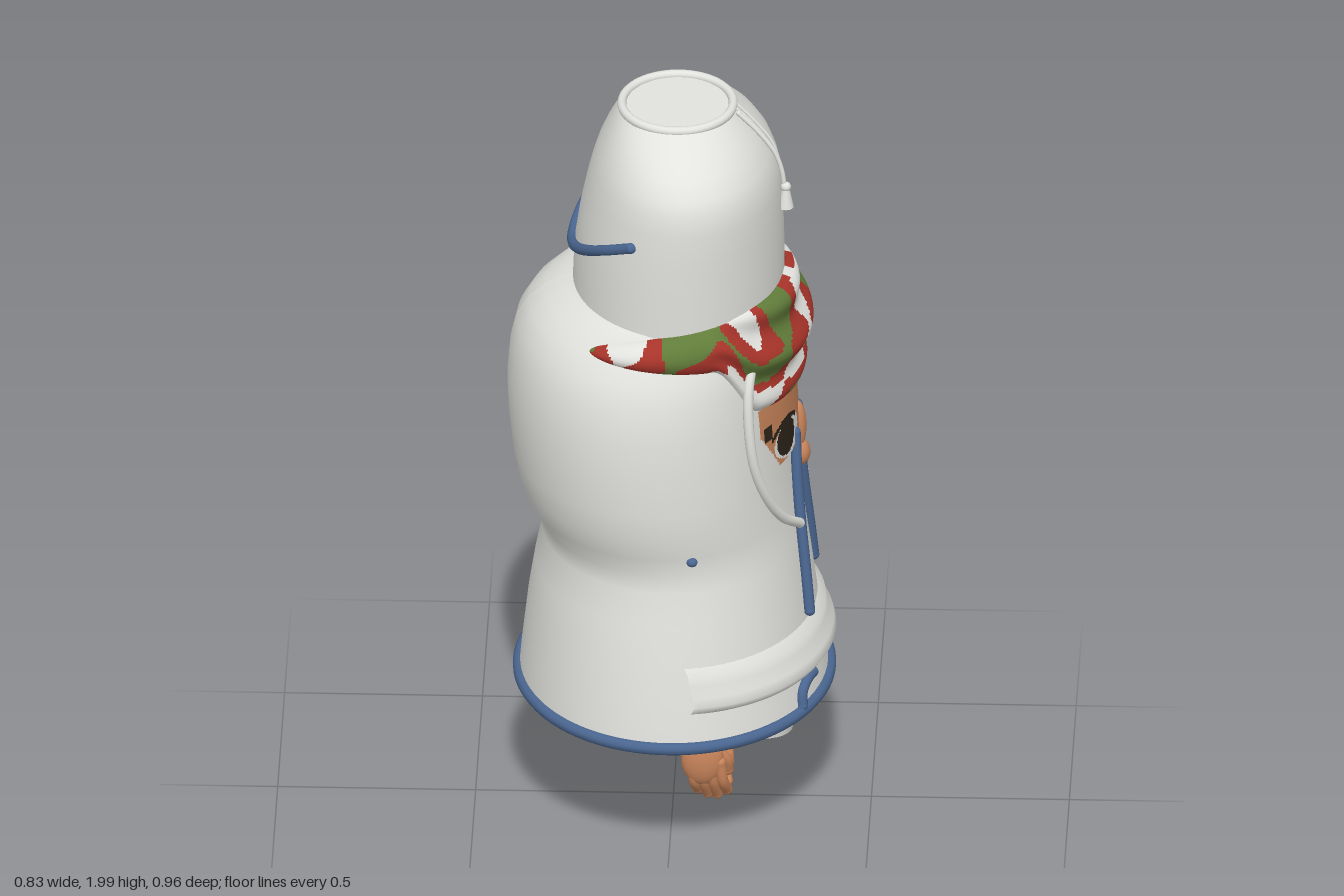
import * as THREE from 'three';

const mat = (name, color, side = THREE.FrontSide) => {
  const m = new THREE.MeshStandardMaterial({ color, side });
  m.name = name;
  return m;
};
const white = mat('offWhiteCloth', 0xe2e2de, THREE.DoubleSide);
const blue = mat('blueTrim', 0x4a6690);
const skin = mat('skin', 0xc8845a, THREE.DoubleSide);
const red = mat('scarfRed', 0xa8342a, THREE.DoubleSide);
const green = mat('scarfGreen', 0x617c3a, THREE.DoubleSide);
const dark = mat('eyeDark', 0x2c241a, THREE.DoubleSide);

// Sections: [y, back x, front x, half width in z]
const BODY = [
  [0.37, -0.39, 0.395, 0.465], [0.45, -0.383, 0.383, 0.455], [0.6, -0.366, 0.363, 0.43],
  [0.7, -0.35, 0.35, 0.41], [0.79, -0.332, 0.337, 0.392], [0.84, -0.34, 0.33, 0.387],
  [0.89, -0.37, 0.322, 0.4], [0.95, -0.39, 0.315, 0.413], [1.02, -0.405, 0.308, 0.42],
  [1.12, -0.416, 0.302, 0.422], [1.22, -0.42, 0.296, 0.42], [1.31, -0.412, 0.29, 0.408],
  [1.38, -0.395, 0.288, 0.385], [1.43, -0.365, 0.283, 0.352], [1.465, -0.325, 0.28, 0.335],
  [1.49, -0.28, 0.275, 0.325], [1.51, -0.23, 0.27, 0.31]];
const HAT = [
  [1.47, -0.255, 0.28, 0.33], [1.6, -0.25, 0.28, 0.335], [1.7, -0.235, 0.277, 0.338],
  [1.78, -0.218, 0.273, 0.338], [1.83, -0.205, 0.264, 0.333], [1.87, -0.192, 0.248, 0.318],
  [1.91, -0.175, 0.222, 0.285], [1.945, -0.158, 0.192, 0.238], [1.975, -0.142, 0.162, 0.18],
  [1.988, -0.132, 0.152, 0.157]];
const FOLD = [
  [0.465, -0.37, 0.365, 0.44], [0.478, -0.37, 0.4, 0.452], [0.495, -0.37, 0.412, 0.456],
  [0.52, -0.37, 0.405, 0.452], [0.55, -0.37, 0.388, 0.445], [0.575, -0.37, 0.385, 0.442], [0.605, -0.37, 0.355, 0.425]];

// Builds a grid surface; pick(u, v) returns a material number, or -1 to leave a gap
function surface(nu, nv, point, pick) {
  const pos = [], lists = [[], [], []], p = new THREE.Vector3();
  for (let i = 0; i <= nv; i++) for (let j = 0; j <= nu; j++) {
    point(j / nu, i / nv, p);
    pos.push(p.x, p.y, p.z);
  }
  for (let i = 0; i < nv; i++) for (let j = 0; j < nu; j++) {
    const m = pick ? pick((j + 0.5) / nu, (i + 0.5) / nv) : 0;
    if (m < 0) continue;
    const a = i * (nu + 1) + j, b = a + nu + 1;
    lists[m].push(a, b, a + 1, a + 1, b, b + 1);
  }
  const g = new THREE.BufferGeometry();
  g.setAttribute('position', new THREE.Float32BufferAttribute(pos, 3));
  g.setIndex(lists.flat());
  let start = 0;
  lists.forEach((l, k) => { if (pick) g.addGroup(start, l.length, k); start += l.length; });
  g.computeVertexNormals();
  return g;
}

function ring(sections, y) {
  let i = 0;
  while (i < sections.length - 2 && y > sections[i + 1][0]) i++;
  const a = sections[i], b = sections[i + 1];
  const t = THREE.MathUtils.clamp((y - a[0]) / (b[0] - a[0]), 0, 1);
  const [, x0, x1, rz] = a.map((v, k) => v + (b[k] - v) * t);
  return { cx: (x0 + x1) / 2, rx: (x1 - x0) / 2, rz };
}
const loft = (sections, half = Math.PI) => surface(80, sections.length - 1, (u, v, p) => {
  const y = sections[Math.round(v * (sections.length - 1))][0], r = ring(sections, y);
  const t = (u * 2 - 1) * half;
  p.set(r.cx + r.rx * Math.cos(t), y, r.rz * Math.sin(t));
});
// Point on the front (or back) of a lofted form
function on(sections, y, z, off = 0, dir = 1) {
  const { cx, rx, rz } = ring(sections, y);
  return new THREE.Vector3(cx + dir * (rx * Math.sqrt(Math.max(0, 1 - (z / rz) ** 2)) + off), y, z);
}

export function createModel() {
  const root = new THREE.Group();
  const add = (name, geo, material, pos, scale) => {
    const m = new THREE.Mesh(geo, material);
    m.name = name;
    if (pos) m.position.set(...pos);
    if (scale) m.scale.set(...scale);
    root.add(m);
    return m;
  };
  const ball = (name, material, pos, size) => add(name, new THREE.SphereGeometry(1, 24, 16), material, pos, size);
  const cord = (name, material, pts, r, closed = false) => {
    const v = pts.map(p => (p.isVector3 ? p : new THREE.Vector3(...p)));
    add(name, new THREE.TubeGeometry(new THREE.CatmullRomCurve3(v, closed), closed ? 96 : 32, r, 10, closed), material);
    if (!closed) for (const e of [v[0], v[v.length - 1]]) ball(name + 'End', material, e.toArray(), [r, r, r]);
  };
  const flat = (name, y, r, down) => {
    const m = add(name, new THREE.CircleGeometry(1, 80), white, [r.cx, y, 0], [r.rx, r.rz, 1]);
    m.rotation.x = down ? Math.PI / 2 : -Math.PI / 2;
  };

  // Robe with closed underside, front fold and blue hem
  add('robe', loft(BODY), white);
  flat('robeUnderside', 0.372, ring(BODY, 0.37), true);
  add('robeFold', loft(FOLD, 1.45), white);
  const hem = ring(BODY, 0.37), hemPts = [];
  for (let i = 0; i < 32; i++) {
    const t = i / 32 * Math.PI * 2;
    hemPts.push([hem.cx + hem.rx * Math.cos(t), 0.385, hem.rz * Math.sin(t)]);
  }
  cord('hem', blue, hemPts, 0.016, true);

  // Tall hat with rim, back cord and hanging pulls
  add('hat', loft(HAT), white);
  flat('hatTop', 1.986, ring(HAT, 1.988), false);
  const rim = add('hatRim', new THREE.TorusGeometry(0.148, 0.012, 12, 64), white, [0.01, 1.988, 0], [0.95, 1.03, 1]);
  rim.rotation.x = Math.PI / 2;
  cord('hatBackCord', blue, [-0.3, -0.24, -0.16, -0.08, 0, 0.08, 0.16, 0.24, 0.3].map(z =>
    on(HAT, 1.6 + 0.13 * (Math.abs(z) / 0.3) ** 1.6, z, 0.005, -1)), 0.014);
  cord('hatPull', white, [1.98, 1.93, 1.87, 1.82, 1.77].map(y => on(HAT, y, 0.035, 0.01)), 0.006);
  for (const z of [0.012, -0.012]) cord('hatSeam', white, [1.98, 1.93, 1.87, 1.8].map(y => on(HAT, y, z, 0.003)), 0.004);
  add('hatTassel', new THREE.CylinderGeometry(0.009, 0.02, 0.055, 14), white, [0.285, 1.742, 0.035]);
  ball('hatTasselKnot', white, [0.285, 1.772, 0.035], [0.013, 0.013, 0.013]);

  // Rolled scarf, deep at the front and tapering to the back
  const A = 2.16, step = THREE.MathUtils.smoothstep;
  const scarf = surface(220, 44, (u, v, p) => {
    const t = (u * 2 - 1) * A, c = Math.cos(t);
    const end = Math.pow(Math.max(0, 1 - Math.abs(u * 2 - 1) ** 6), 0.5);
    const top = 1.475 + 0.055 * step(c, -0.5, 0.8), low = 1.39 - 0.02 * step(c, -0.5, 0.4) - 0.165 * step(c, 0.4, 0.72);
    const mid = 1.43, y = mid + (THREE.MathUtils.lerp(low, top, v) - mid) * Math.max(0.15, end);
    const front = step(c, 0.3, 0.75);
    const roll = front * 0.014 * Math.cos(v * Math.PI * 5 + 1.1 * Math.sin(t * 3 + 0.6) + Math.PI);
    const r = 0.3 + (0.07 * Math.pow(Math.sin(Math.PI * v), 0.45) + roll) * (0.3 + 0.7 * end);
    p.set(-0.03 + r * c, y, r * 1.03 * Math.sin(t));
  }, (u, v) => {
    const t = (u * 2 - 1) * A, h = v * (0.12 + 0.2 * step(Math.cos(t), 0.4, 0.72)) * 16;
    const n = Math.sin(t * 5.2 + h * 1.3 + 1.4 * Math.sin(h * 1.1 - t * 2.3)) + 0.45 * Math.sin(t * 8.3 - h * 1.9);
    return n > 0.52 ? 1 : n < -0.52 ? 2 : 0;
  });
  add('scarf', scarf, [red, green, white]);

  // Face sheet with eyes, lying on the front of the robe
  const Y0 = 1.0, Y1 = 1.25, Z = 0.27;
  const face = surface(120, 56, (u, v, p) => p.copy(on(BODY, Y0 + v * (Y1 - Y0), (u * 2 - 1) * Z, 0.014)),
    (u, v) => {
      const z = Math.abs(u * 2 - 1) * Z, y = Y0 + v * (Y1 - Y0);
      if (((z - 0.15) / 0.058) ** 2 + ((y - 1.118) / 0.046) ** 2 < 1) return 1;
      if (Math.abs(y - 1.168 + (z - 0.15) ** 2 * 4) < 0.007 && z > 0.07 && z < 0.23) return 1;
      if (z > 0.225 && z < 0.255 && Math.abs(y - 1.17) < 0.02) return 1;
      if (((z - 0.135) / 0.085) ** 2 + ((y - 1.115) / 0.052) ** 2 < 1) return 2;
      const chin = z < 0.035 ? 1.0 : z < 0.1 ? 1.05 + (z - 0.035) * 0.9 : 1.062 + Math.max(0, z - 0.2) * 1.6;
      return y > chin ? 0 : -1;
    });
  add('face', face, [skin, dark, white]);
  ball('noseBridge', skin, [0.314, 1.07, 0], [0.022, 0.07, 0.026]);
  ball('noseTip', skin, [0.32, 0.995, 0], [0.026, 0.036, 0.03]);

  for (const s of [1, -1]) {
    // Hood rope, front cords, side buttons and hem loops
    cord('hoodRope', white, [[1.4, 0.26], [1.32, 0.295], [1.2, 0.308], [1.1, 0.3], [1.0, 0.268], [0.92, 0.215], [0.865, 0.14]]
      .map(([y, z]) => on(BODY, y, s * z, 0.02)), 0.013);
    cord('frontCord', blue, [1.09, 0.97, 0.85, 0.73, 0.62].map(y =>
      on(BODY, y, s * (0.075 + (1.09 - y) * 0.16), 0.012)), 0.014);
    ball('sideButton', blue, [0.06, 0.88, s * 0.388], [0.014, 0.012, 0.014]);
    cord('hemLoop', blue, [[0.4, 0.25], [0.435, 0.24], [0.455, 0.21], [0.458, 0.175]]
      .map(([y, z]) => on(BODY, y, s * z, 0.006)), 0.014);

    // Sleeves and cuffs below the robe
    const sleeve = add('sleeve', new THREE.CylinderGeometry(0.09, 0.075, 0.17, 28), blue, [0.015, 0.33, s * 0.1]);
    sleeve.rotation.x = s * 0.35;
    add('cuff', new THREE.CylinderGeometry(0.08, 0.074, 0.03, 32), white, [0.045, 0.25, s * 0.075], [1.45, 1, 1]);
    const band = add('cuffBand', new THREE.TorusGeometry(0.077, 0.011, 10, 40), blue, [0.045, 0.272, s * 0.075], [1.45, 1, 1]);
    band.rotation.x = Math.PI / 2;
    band.scale.set(1.45, 1, 1);

    // Shoes with round toes and pale soles
    ball('shoe', blue, [0.21, 0.32, s * 0.048], [0.055, 0.048, 0.045]);
    ball('toe', skin, [0.25, 0.31, s * 0.045], [0.024, 0.02, 0.02]);
    add('sole', new THREE.CylinderGeometry(0.075, 0.07, 0.026, 28), white, [0.235, 0.262, s * 0.078]);

    // Hands hanging down with the fingertips together
    add('wrist', new THREE.CylinderGeometry(0.032, 0.034, 0.09, 18), skin, [0.06, 0.215, s * 0.054], [1.2, 1, 0.75]);
    ball('palm', skin, [0.075, 0.135, s * 0.053], [0.054, 0.07, 0.029]);
    for (let i = 0; i < 4; i++) {
      const x = 0.048 + i * 0.024, low = [0.032, 0.02, 0.018, 0.03][i];
      cord('finger', skin, [[x, 0.13, s * 0.058], [x + 0.006, 0.075, s * 0.052], [x + 0.015, low + 0.005, s * 0.022]], 0.0145);
    }
    cord('thumb', skin, [[0.1, 0.16, s * 0.042], [0.134, 0.125, s * 0.03], [0.138, 0.09, s * 0.018]], 0.015);
  }
  return root;
}
